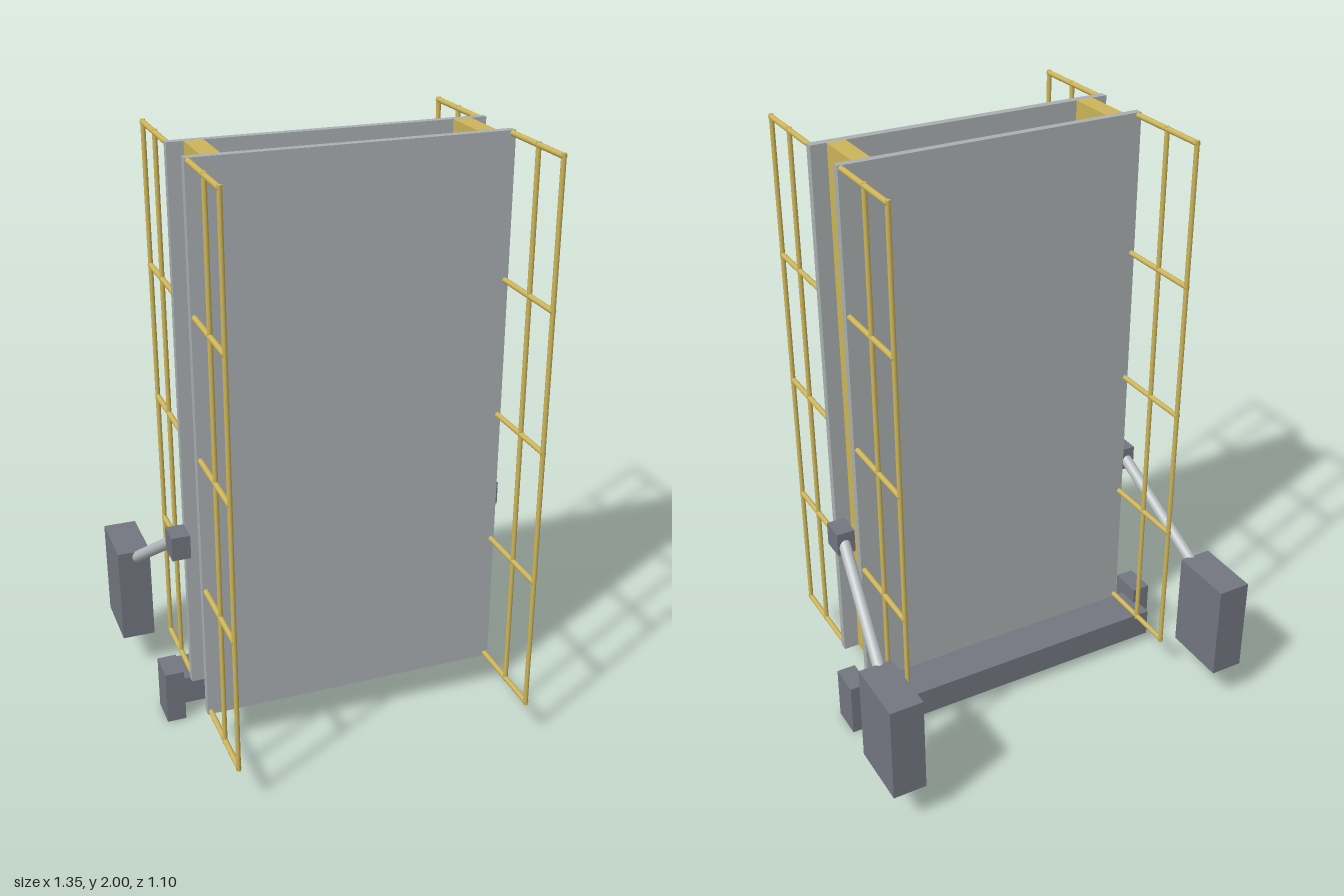
import * as THREE from 'three';

export function createModel() {
  const root = new THREE.Group();
  root.name = 'doublePanelFrame';

  const yellow = new THREE.MeshStandardMaterial({ color: 0xcdb55a });
  const panelGrey = new THREE.MeshStandardMaterial({ color: 0xaaafb1 });
  const darkGrey = new THREE.MeshStandardMaterial({ color: 0x737680 });
  const steel = new THREE.MeshStandardMaterial({ color: 0xb9bfc1 });

  // Box given by its minimum and maximum corners
  function box(parent, name, material, [x0, y0, z0], [x1, y1, z1]) {
    const mesh = new THREE.Mesh(new THREE.BoxGeometry(x1 - x0, y1 - y0, z1 - z0), material);
    mesh.position.set((x0 + x1) / 2, (y0 + y1) / 2, (z0 + z1) / 2);
    mesh.name = name;
    parent.add(mesh);
  }

  // Round bar between two points
  function bar(parent, name, material, from, to, radius, sides) {
    const a = new THREE.Vector3(...from);
    const b = new THREE.Vector3(...to);
    const dir = b.clone().sub(a);
    const mesh = new THREE.Mesh(new THREE.CylinderGeometry(radius, radius, dir.length(), sides), material);
    mesh.position.copy(a).add(b).multiplyScalar(0.5);
    mesh.quaternion.setFromUnitVectors(new THREE.Vector3(0, 1, 0), dir.normalize());
    mesh.name = name;
    parent.add(mesh);
  }

  const bottom = 0.135;
  const top = 2;
  const railRadius = 0.008;

  // Two large parallel panels
  box(root, 'rearPanel', panelGrey, [-0.513, bottom, 0], [0.513, top, 0.026]);
  box(root, 'frontPanel', panelGrey, [-0.513, bottom, 0.2], [0.513, top, 0.228]);

  // Beam across the foot, behind the panels
  box(root, 'baseBeam', darkGrey, [-0.56, 0.035, -0.143], [0.56, 0.135, 0]);

  // Ladder-like railing: two uprights and five rungs standing off a panel
  function railing(parent, name, x, panelZ, midZ, outerZ) {
    const group = new THREE.Group();
    group.name = name;
    for (const z of [midZ, outerZ]) {
      bar(group, 'upright', yellow, [x, bottom, z], [x, top, z], railRadius, 12);
    }
    const tip = outerZ + Math.sign(outerZ - panelZ) * 0.005;
    for (let i = 0; i < 5; i++) {
      const y = 0.145 + i * 0.4615;
      bar(group, 'rung', yellow, [x, y, panelZ], [x, y, tip], railRadius + 0.001, 12);
    }
    parent.add(group);
  }

  for (const s of [1, -1]) {
    const side = new THREE.Group();
    side.name = s > 0 ? 'leftSide' : 'rightSide';
    const sideBox = (name, material, a, b) => {
      const xs = [a[0] * s, b[0] * s].sort((p, q) => p - q);
      box(side, name, material, [xs[0], a[1], a[2]], [xs[1], b[1], b[2]]);
    };

    // Post joining the panels
    sideBox('post', yellow, [0.4, bottom, 0.026], [0.46, top, 0.2]);

    railing(side, 'frontRailing', 0.502 * s, 0.22, 0.392, 0.54);
    railing(side, 'rearRailing', 0.502 * s, 0.01, -0.156, -0.308);

    // Foot block, counterweight, bracket and the strut between them
    sideBox('footBlock', darkGrey, [0.543, 0, -0.072], [0.608, 0.19, 0.04]);
    sideBox('counterweight', darkGrey, [0.56, 0.135, -0.548], [0.674, 0.48, -0.32]);
    sideBox('bracket', darkGrey, [0.517, 0.67, 0.03], [0.579, 0.752, 0.113]);
    bar(side, 'strut', steel, [0.55 * s, 0.713, 0.05], [0.604 * s, 0.455, -0.33], 0.02, 20);

    root.add(side);
  }

  return root;
}
